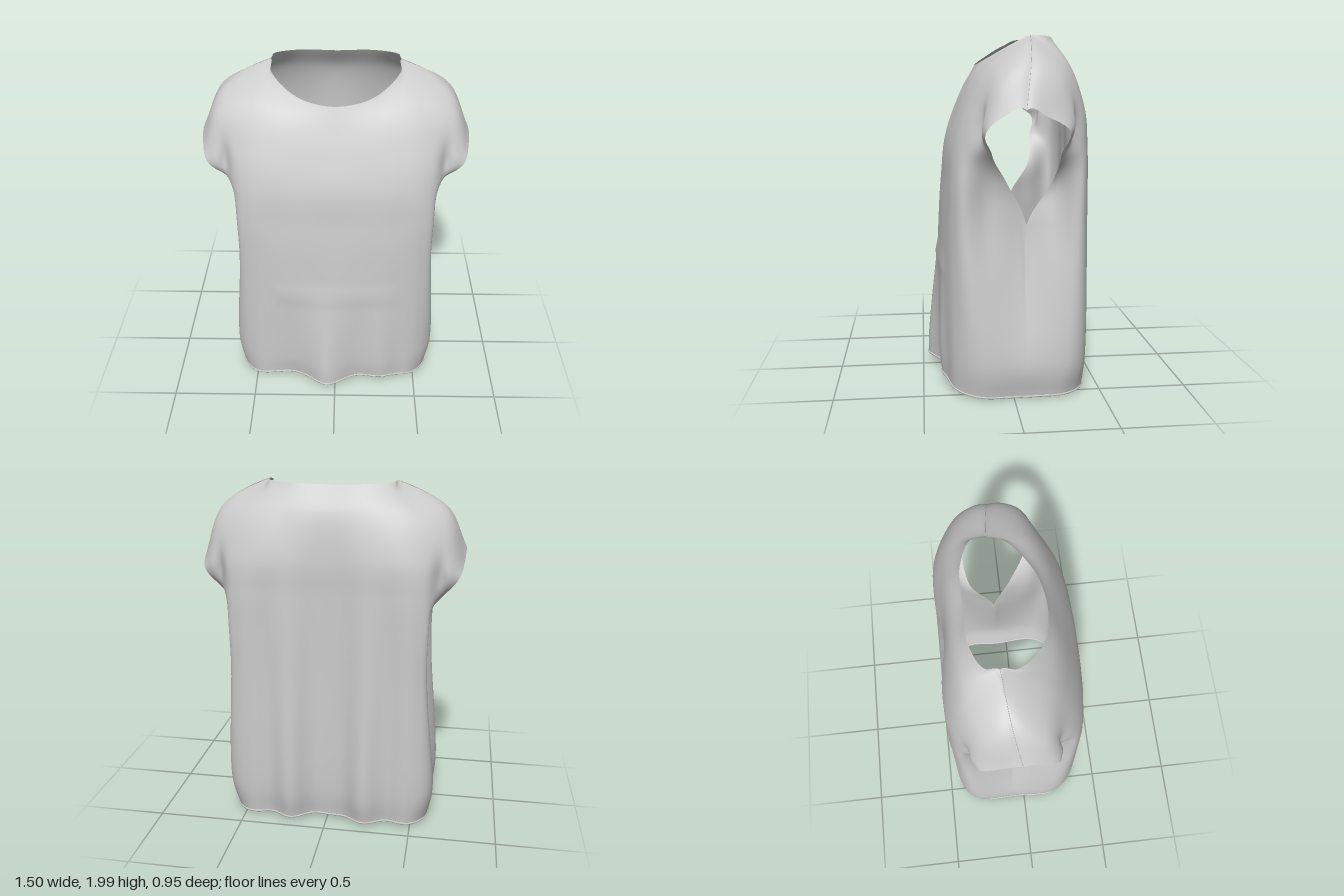
import * as THREE from 'three';
import { mergeGeometries, mergeVertices } from 'three/addons/utils/BufferGeometryUtils.js';

const NU = 120, NV = 105, W = NU + 1;
const UNDERARM = Math.round(NV * 2 / 7); // row where the armhole starts
const bump = (d, w) => Math.exp(-(d * d) / (w * w));

// Half cross-sections, hem to neckline, each from the centre to the side edge
const frontRows = [
  [[0, .07, .42], [.2, .07, .385], [.34, .065, .36], [.48, .04, .325], [.575, .02, .2], [.575, .012, -.07]],
  [[0, .2, .425], [.2, .2, .4], [.35, .2, .37], [.5, .2, .325], [.602, .2, .21], [.605, .2, -.07]],
  [[0, .97, .39], [.2, .97, .385], [.34, .97, .37], [.49, .97, .33], [.56, .97, .27], [.455, .965, -.08]],
  [[0, 1.2, .37], [.2, 1.2, .368], [.34, 1.2, .355], [.49, 1.2, .325], [.56, 1.2, .27], [.5, 1.2, .03]],
  [[0, 1.4, .35], [.2, 1.4, .345], [.34, 1.4, .335], [.48, 1.4, .305], [.56, 1.4, .255], [.64, 1.41, .15]],
  [[0, 1.6, .28], [.2, 1.6, .28], [.34, 1.6, .27], [.47, 1.6, .245], [.61, 1.58, .19], [.72, 1.5, .16]],
  [[0, 1.74, .218], [.2, 1.76, .205], [.33, 1.8, .165], [.45, 1.825, .12], [.645, 1.765, .085], [.742, 1.575, .08]],
  [[0, 1.84, .17], [.2, 1.87, .125], [.35, 1.955, -.02], [.36, 1.995, -.11], [.62, 1.86, -.08], [.75, 1.61, -.04]],
];
const backRows = [
  [[0, .03, -.36], [.2, .03, -.43], [.36, .03, -.4], [.5, .025, -.385], [.575, .02, -.28], [.575, .012, -.07]],
  [[0, .2, -.38], [.2, .2, -.46], [.37, .2, -.42], [.52, .2, -.405], [.602, .2, -.32], [.605, .2, -.07]],
  [[0, .97, -.38], [.2, .97, -.435], [.36, .97, -.42], [.5, .97, -.41], [.565, .97, -.355], [.455, .965, -.08]],
  [[0, 1.2, -.38], [.2, 1.2, -.425], [.36, 1.2, -.42], [.5, 1.2, -.41], [.565, 1.2, -.365], [.5, 1.2, -.215]],
  [[0, 1.4, -.38], [.2, 1.4, -.415], [.36, 1.4, -.42], [.5, 1.4, -.405], [.57, 1.4, -.365], [.64, 1.39, -.255]],
  [[0, 1.6, -.38], [.2, 1.6, -.405], [.36, 1.6, -.41], [.5, 1.6, -.385], [.62, 1.58, -.33], [.72, 1.5, -.27]],
  [[0, 1.85, -.34], [.2, 1.85, -.34], [.34, 1.86, -.32], [.46, 1.85, -.29], [.645, 1.775, -.22], [.742, 1.575, -.15]],
  [[0, 1.985, -.255], [.2, 1.99, -.252], [.345, 1.995, -.185], [.36, 1.995, -.11], [.62, 1.86, -.08], [.75, 1.61, -.04]],
];

// Mirror the rows, then run splines across and up to get a dense grid
function panelGrid(rows) {
  const curves = rows.map(r => {
    const half = r.map(p => new THREE.Vector3(...p));
    const mirrored = half.slice(1).reverse().map(p => new THREE.Vector3(-p.x, p.y, p.z));
    return new THREE.CatmullRomCurve3([...mirrored, ...half]);
  });
  const grid = [];
  for (let i = 0; i <= NU; i++) {
    const column = new THREE.CatmullRomCurve3(curves.map(c => c.getPoint(i / NU)));
    const shoulder = THREE.MathUtils.smoothstep(Math.abs(i / NU - 0.5), 0.27, 0.42);
    for (let j = 0; j <= NV; j++) {
      const p = column.getPoint(j / NV);
      // round the shoulder over towards its seam
      const t = Math.max(0, j / NV * 7 - 6);
      p.y += 0.12 * shoulder * t * t * (1 - t);
      grid[j * W + i] = p;
    }
  }
  return grid;
}

// Share the side seams and shoulder seams between both panels
function weldSeams(a, b) {
  const weld = k => { a[k].lerp(b[k], 0.5); b[k].copy(a[k]); };
  for (let j = 0; j <= UNDERARM; j++) { weld(j * W); weld(j * W + NU); }
  for (let i = 0; i <= NU; i++) if (Math.abs(i / NU - 0.5) >= 0.3 - 1e-6) weld(NV * W + i);
}

// Soft drapery, fading out towards the side seams
function drape(p, front) {
  const { x, y, z } = p;
  const fade = 1 - Math.min(1, Math.abs(x) / 0.55) ** 4;
  const low = Math.max(0, 1 - y / 0.75);
  const sleeve = 0.04 * bump(Math.abs(x) - 0.61, 0.035) * bump(y - 1.5, 0.11);
  if (front) {
    p.z += fade * low * (0.055 * bump(x + 0.06, 0.09) + 0.025 * bump(x - 0.3, 0.08)
      - 0.02 * bump(x - 0.13, 0.07) - 0.025 * bump(x + 0.27, 0.09));
    p.z += 0.014 * bump(y - 0.71, 0.018) / (1 + Math.exp((Math.abs(x) - 0.35) * 60));
    p.z -= sleeve;
  } else {
    const len = Math.max(0, 1 - y / 1.7);
    p.z -= fade * len * 0.014 * Math.cos(x * 28 + 0.3);
    p.z += sleeve;
  }
  // hollow sides below the arms, and a slight sway of the hem to one side
  const hollow = bump(z - 0.15, 0.07) + bump(z + 0.25, 0.06);
  p.x -= Math.sign(x) * 0.025 * hollow * bump(y - 1.1, 0.28);
  p.x -= 0.014 * low * THREE.MathUtils.smoothstep(-x, 0.2, 0.55);
}

function panelGeometry(grid, flip) {
  const index = [];
  for (let j = 0; j < NV; j++) for (let i = 0; i < NU; i++) {
    const a = j * W + i, b = a + 1, c = a + W, d = c + 1;
    if (flip) index.push(a, c, b, b, c, d);
    else index.push(a, b, c, b, d, c);
  }
  const g = new THREE.BufferGeometry().setFromPoints(grid);
  g.setIndex(index);
  return g;
}

export function createModel() {
  const model = new THREE.Group();
  const material = new THREE.MeshStandardMaterial({ color: 0xcccccc, side: THREE.DoubleSide });
  const add = (name, geometry) => {
    const mesh = new THREE.Mesh(geometry, material);
    mesh.name = name;
    model.add(mesh);
  };

  const front = panelGrid(frontRows), back = panelGrid(backRows);
  front.forEach(p => drape(p, true));
  back.forEach(p => drape(p, false));
  weldSeams(front, back);

  // Cloth body with neck, arm and hem openings
  const cloth = mergeVertices(mergeGeometries([panelGeometry(front, false), panelGeometry(back, true)]), 1e-4);
  cloth.computeVertexNormals();
  add('shirtBody', cloth);

  // Rolled hem around the bottom opening
  const hem = [...front.slice(0, W), ...back.slice(1, NU).reverse()].filter((p, i) => i % 2 === 0);
  add('hem', new THREE.TubeGeometry(new THREE.CatmullRomCurve3(hem, true), 240, 0.006, 6, true));

  // Shoulder seams from neck corner to sleeve edge
  const top = NV * W;
  const rightSeam = front.slice(top, top + Math.round(NU * 0.2) + 1);
  const leftSeam = front.slice(top + Math.round(NU * 0.8), top + W);
  add('rightShoulderSeam', new THREE.TubeGeometry(new THREE.CatmullRomCurve3(rightSeam), 40, 0.002, 5));
  add('leftShoulderSeam', new THREE.TubeGeometry(new THREE.CatmullRomCurve3(leftSeam), 40, 0.002, 5));
  return model;
}
